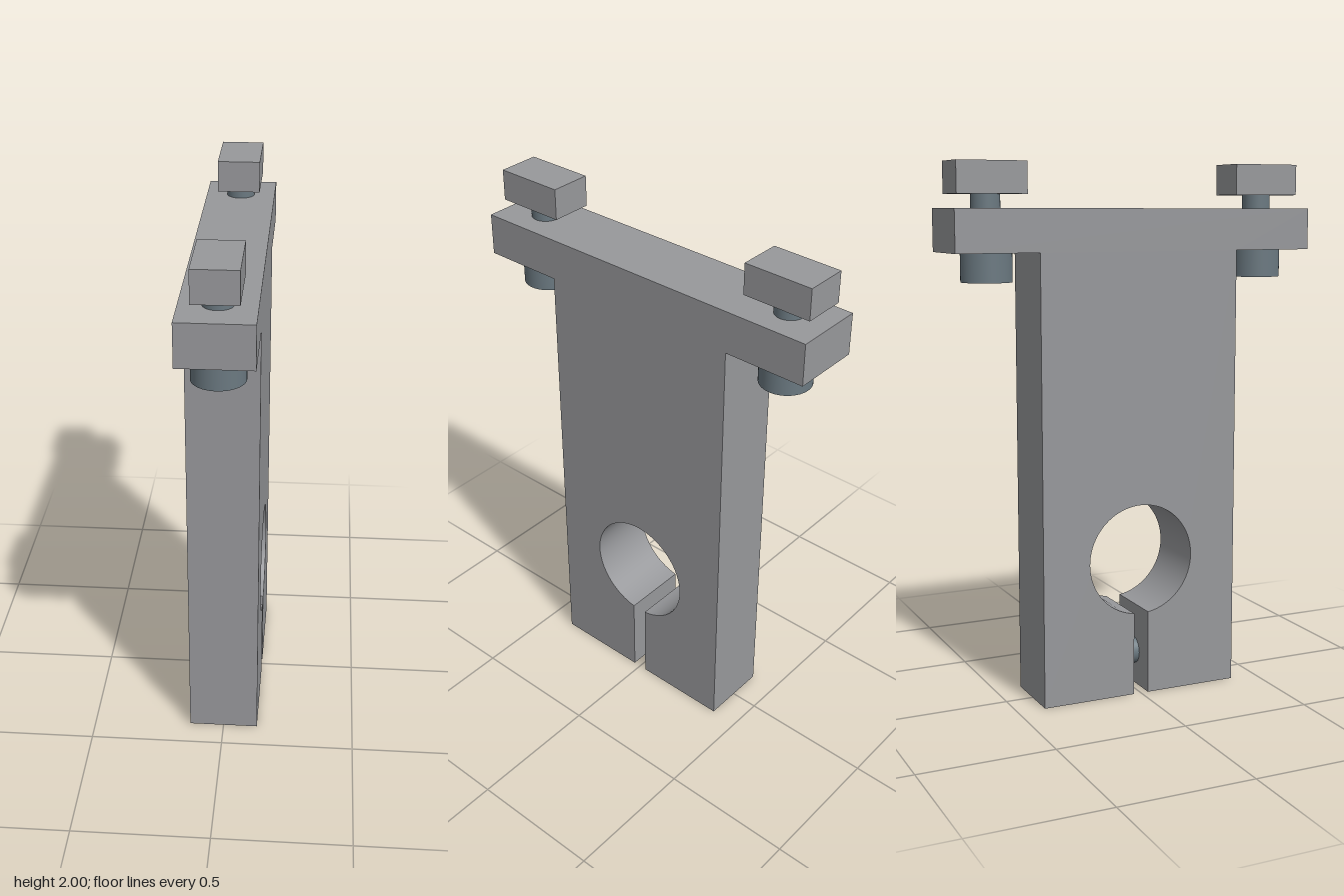
import * as THREE from 'three';
import { toCreasedNormals } from 'three/addons/utils/BufferGeometryUtils.js';

const grey = new THREE.MeshStandardMaterial({ color: 0x97989b });
grey.name = 'light grey metal';
const steel = new THREE.MeshStandardMaterial({ color: 0x6b7981 });
steel.name = 'blue grey steel';

function add(parent, name, geometry, material, x = 0, y = 0, z = 0) {
  const mesh = new THREE.Mesh(geometry, material);
  mesh.name = name;
  mesh.position.set(x, y, z);
  parent.add(mesh);
  return mesh;
}

// T-shaped plate with a round bore opened by a slot to the bottom edge
function plateGeometry() {
  const thickness = 0.26, radius = 0.21, boreY = 0.527, slot = 0.029;
  const half = [[slot, 0], [0.395, 0], [0.395, 1.68], [0.707, 1.68], [0.707, 1.835]];
  const mirrored = half.map(([z, y]) => [-z, y]).reverse();
  const shape = new THREE.Shape([...half, ...mirrored].map(([z, y]) => new THREE.Vector2(z, y)));
  const gap = Math.asin(slot / radius);
  shape.absarc(0, boreY, radius, -Math.PI / 2 - gap, -Math.PI / 2 + gap, true);
  shape.closePath();
  const geometry = new THREE.ExtrudeGeometry(shape, {
    depth: thickness, bevelEnabled: false, curveSegments: 36,
  });
  geometry.translate(0, 0, -thickness / 2);
  geometry.rotateY(-Math.PI / 2);
  return toCreasedNormals(geometry, 0.5);
}

export function createModel() {
  const model = new THREE.Group();
  model.name = 'clampBracket';
  add(model, 'clampPlate', plateGeometry(), grey);

  // Screw bridging the clamp slot
  const clampScrew = add(model, 'clampScrew',
    new THREE.CylinderGeometry(0.053, 0.053, 0.2, 40), steel, 0, 0.133, 0);
  clampScrew.rotation.x = Math.PI / 2;

  // Bolt through each flange, with its head below and a slot nut above
  for (const side of [1, -1]) {
    const bolt = new THREE.Group();
    bolt.name = side > 0 ? 'frontBolt' : 'backBolt';
    bolt.position.z = side * 0.551;
    add(bolt, 'boltHead', new THREE.CylinderGeometry(0.093, 0.093, 0.105, 48), steel, 0, 1.6275);
    add(bolt, 'boltShank', new THREE.CylinderGeometry(0.053, 0.053, 0.27, 40), steel, 0, 1.815);
    add(bolt, 'slotNut', new THREE.BoxGeometry(0.157, 0.115, 0.262), grey, 0, 1.9425);
    model.add(bolt);
  }
  return model;
}
